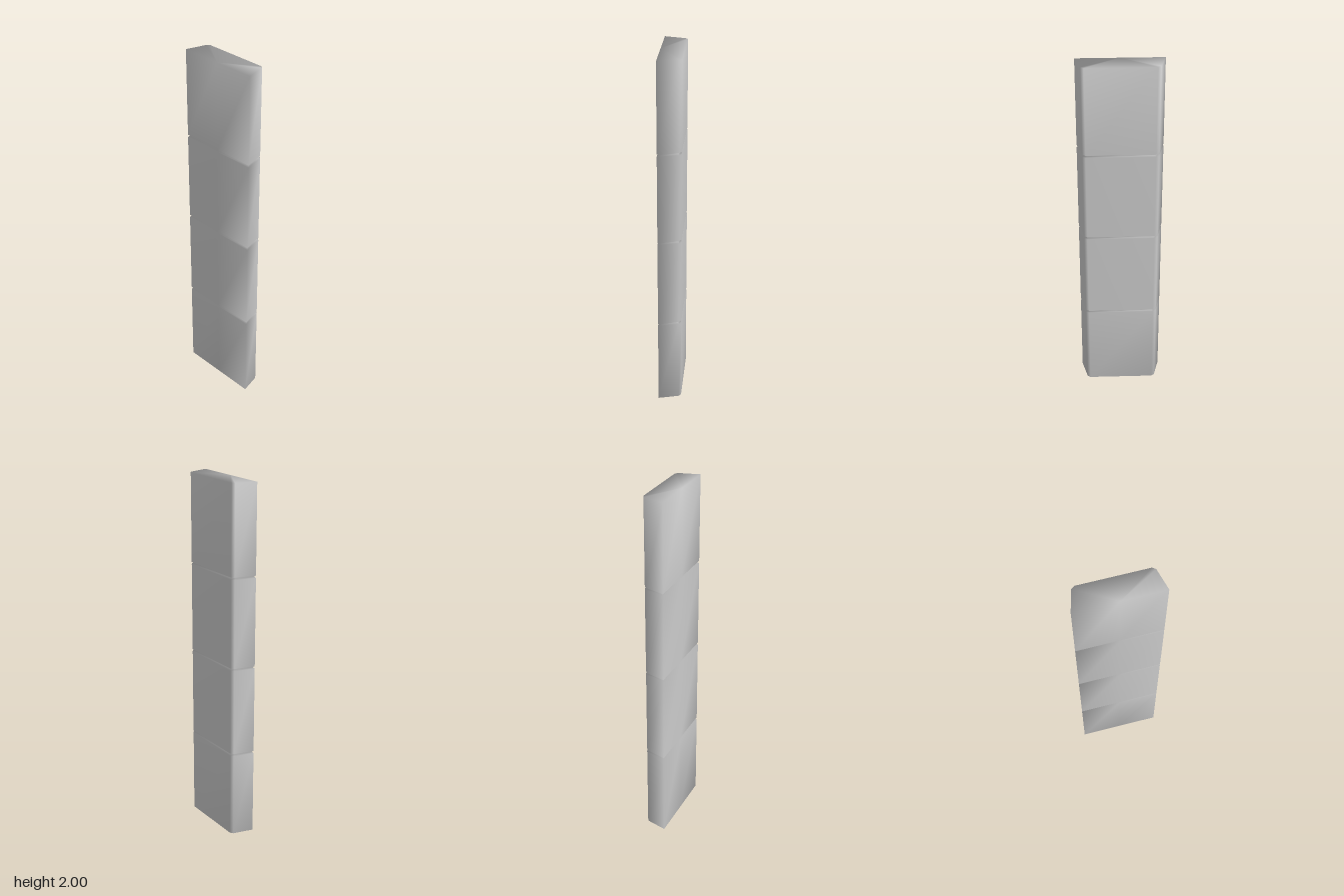
import * as THREE from 'three';

// Cross-section (x, z), counter-clockwise from above: wide flat front, chamfered back corners
const SECTION = [
  [0.23, 0.0625], [0.2, -0.051], [0.183, -0.0635],
  [-0.183, -0.0635], [-0.2, -0.051], [-0.23, 0.0625], [0, 0.0625],
];
const GROOVE_DEPTH = 0.007, GROOVE_HALF = 0.007;

function segmentedBar() {
  // Levels as [height, inset]: each groove is a shallow V between two segments
  const levels = [[0, 0]];
  for (const y of [0.497, 1.003, 1.508]) {
    levels.push([y - GROOVE_HALF, 0], [y, GROOVE_DEPTH], [y + GROOVE_HALF, 0]);
  }
  levels.push([2, 0]);

  const n = SECTION.length;
  const positions = [], index = [];
  for (const [y, inset] of levels) {
    for (const [x, z] of SECTION) {
      positions.push(x - Math.sign(x) * inset, y, z - Math.sign(z) * inset);
    }
  }

  // Side walls
  for (let l = 0; l < levels.length - 1; l++) {
    for (let i = 0; i < n; i++) {
      const a = l * n + i, b = l * n + (i + 1) % n;
      index.push(a, b, b + n, a, b + n, a + n);
    }
  }

  // End caps, fanned from the front midpoint
  const top = (levels.length - 1) * n, hub = n - 1;
  for (let i = 0; i < n - 2; i++) {
    index.push(top + hub, top + i, top + i + 1);
    index.push(hub, i + 1, i);
  }

  const geometry = new THREE.BufferGeometry();
  geometry.setAttribute('position', new THREE.Float32BufferAttribute(positions, 3));
  geometry.setIndex(index);
  geometry.computeVertexNormals();
  return geometry;
}

export function createModel() {
  const group = new THREE.Group();
  group.name = 'segmentedPost';
  const bar = new THREE.Mesh(segmentedBar(), new THREE.MeshStandardMaterial({ color: 0xcccccc }));
  bar.name = 'groovedBar';
  group.add(bar);
  return group;
}
